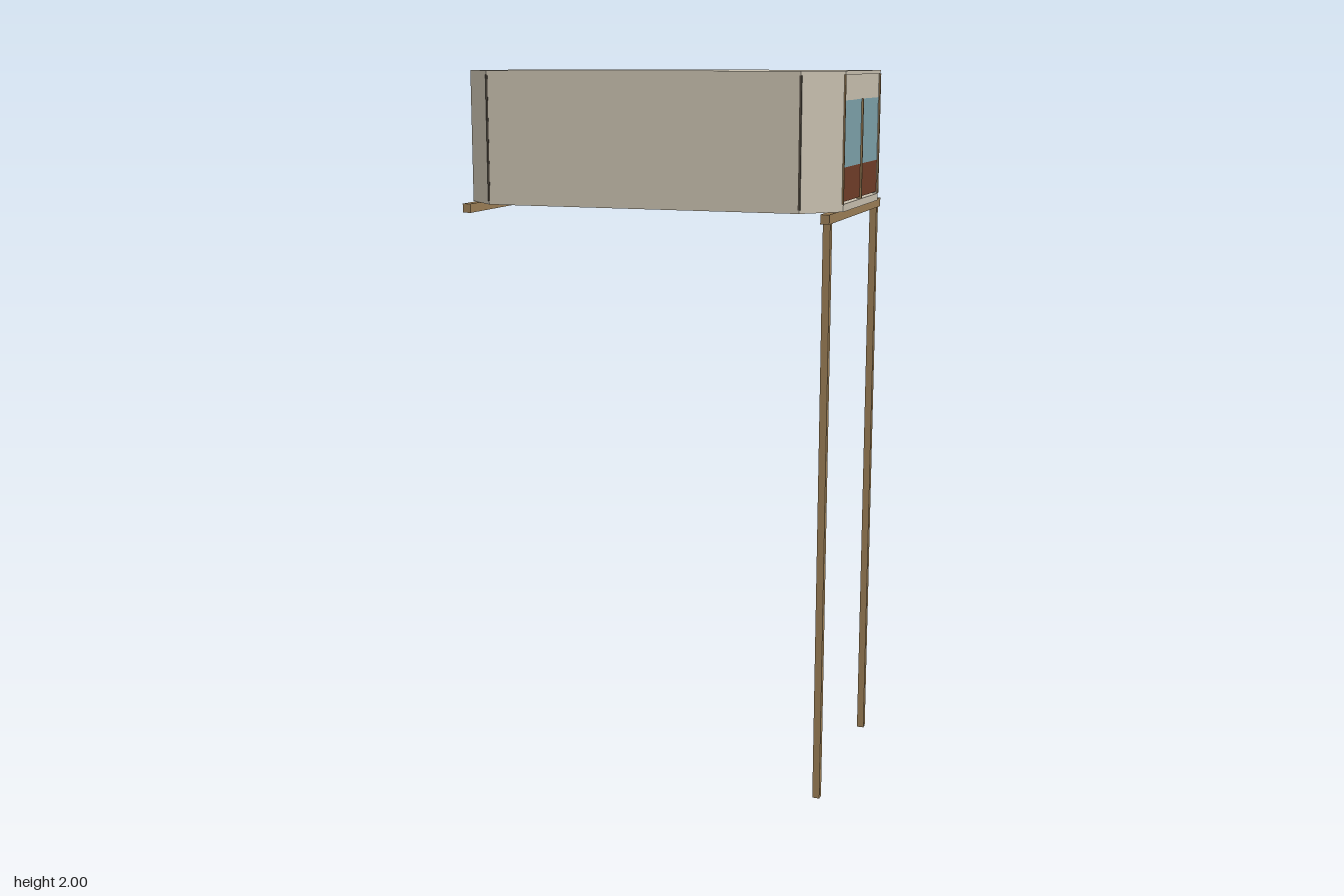
import * as THREE from 'three';

const paint = (name, color) => {
  const m = new THREE.MeshStandardMaterial({ color });
  m.name = name;
  return m;
};

export function createModel() {
  const model = new THREE.Group();
  model.name = 'raisedCabin';
  const plaster = paint('plaster', 0xc6bead);
  const wood = paint('wood', 0x997d55);
  const glass = paint('glass', 0x7c9fa8);
  const panel = paint('redBrown', 0x6e3c28);
  const dark = paint('darkSeam', 0x4a443b);
  const blue = paint('seatBlue', 0x5f8c9c);

  const X = 0.54, Z = 0.3, CX = 0.445, CZ = 0.205; // half sizes and chamfer starts
  const BASE = 1.635, TOP = 2, T = 0.012;

  function box(name, mat, size, pos, parent = model) {
    const mesh = new THREE.Mesh(new THREE.BoxGeometry(...size), mat);
    mesh.name = name;
    mesh.position.set(...pos);
    parent.add(mesh);
    return mesh;
  }

  // Octagonal floor and roof slabs
  const plan = new THREE.Shape([
    [X, CZ], [CX, Z], [-CX, Z], [-X, CZ], [-X, -CZ], [-CX, -Z], [CX, -Z], [X, -CZ],
  ].map(([x, z]) => new THREE.Vector2(x, z)));
  function slab(name, y, height) {
    const geo = new THREE.ExtrudeGeometry(plan, { depth: height, bevelEnabled: false });
    geo.rotateX(-Math.PI / 2);
    const mesh = new THREE.Mesh(geo, plaster);
    mesh.name = name;
    mesh.position.y = y;
    model.add(mesh);
  }
  slab('floor', BASE, 0.02);
  slab('roof', TOP - 0.01, 0.01);

  // Long walls and chamfered corner walls
  const wallY = (BASE + TOP) / 2, wallH = TOP - BASE - 0.002;
  for (const s of [1, -1]) {
    box('longWall', plaster, [CX * 2, wallH, T], [0, wallY, s * (Z - T / 2)]);
    for (const e of [1, -1]) {
      const len = Math.hypot(X - CX, Z - CZ), d = T / 2 * Math.SQRT1_2;
      const corner = box('cornerWall', plaster, [len, wallH, T],
        [e * ((X + CX) / 2 - d), wallY, s * ((Z + CZ) / 2 - d)]);
      corner.rotation.y = s * e * Math.PI / 4;
      box('cornerSeam', dark, [0.006, 0.345, 0.006], [e * CX, 1.8165, s * (Z - 0.0025)]);
    }
  }

  // Glazed end: lower panel, panes, lintel and slim posts
  const endX = X - 0.01;
  box('lowerPanel', panel, [T, 0.09, CZ * 2], [endX, 1.705, 0]);
  for (const s of [1, -1]) {
    box('windowPane', glass, [T, 0.175, CZ], [endX, 1.8375, s * CZ / 2]);
    box('endPost', wood, [0.014, 0.335, 0.006], [X - 0.006, 1.8225, s * CZ]);
  }
  box('lintel', plaster, [T, 0.075, CZ * 2], [endX, 1.9615, 0]);
  box('mullion', wood, [0.014, 0.27, 0.006], [X - 0.006, 1.79, 0]);

  // Opposite end wall with an open hatch
  const end = new THREE.Shape([
    [-CZ, BASE + 0.001], [CZ, BASE + 0.001], [CZ, TOP - 0.001], [-CZ, TOP - 0.001],
  ].map(p => new THREE.Vector2(...p)));
  end.holes.push(new THREE.Path([
    [-0.15, 1.657], [-0.15, 1.88], [0.155, 1.88], [0.155, 1.657],
  ].map(p => new THREE.Vector2(...p))));
  const endGeo = new THREE.ExtrudeGeometry(end, { depth: T, bevelEnabled: false });
  endGeo.rotateY(-Math.PI / 2);
  const endWall = new THREE.Mesh(endGeo, plaster);
  endWall.name = 'hatchWall';
  endWall.position.x = -X + T;
  model.add(endWall);

  // Small chair just inside the hatch
  const chair = new THREE.Group();
  chair.name = 'chair';
  chair.position.set(-0.43, 1.655, 0.11);
  chair.rotation.y = 0.4;
  model.add(chair);
  box('chairSeat', panel, [0.06, 0.01, 0.06], [0, 0.045, 0], chair);
  box('chairCushion', blue, [0.05, 0.008, 0.05], [0, 0.054, 0], chair);
  box('chairBack', blue, [0.008, 0.045, 0.055], [0.03, 0.085, 0], chair);
  for (const x of [-0.025, 0.025]) for (const z of [-0.025, 0.025]) {
    box('chairLeg', dark, [0.006, 0.042, 0.006], [x, 0.021, z], chair);
  }

  // Cross beams at both ends, stilts under the glazed end only
  for (const e of [1, -1]) {
    box('crossBeam', wood, [0.024, 0.025, 0.6], [e * 0.515, BASE - 0.0125, 0]);
  }
  for (const s of [1, -1]) {
    box('stilt', wood, [0.02, 1.61, 0.02], [0.515, 0.805, s * 0.27]);
  }
  return model;
}
